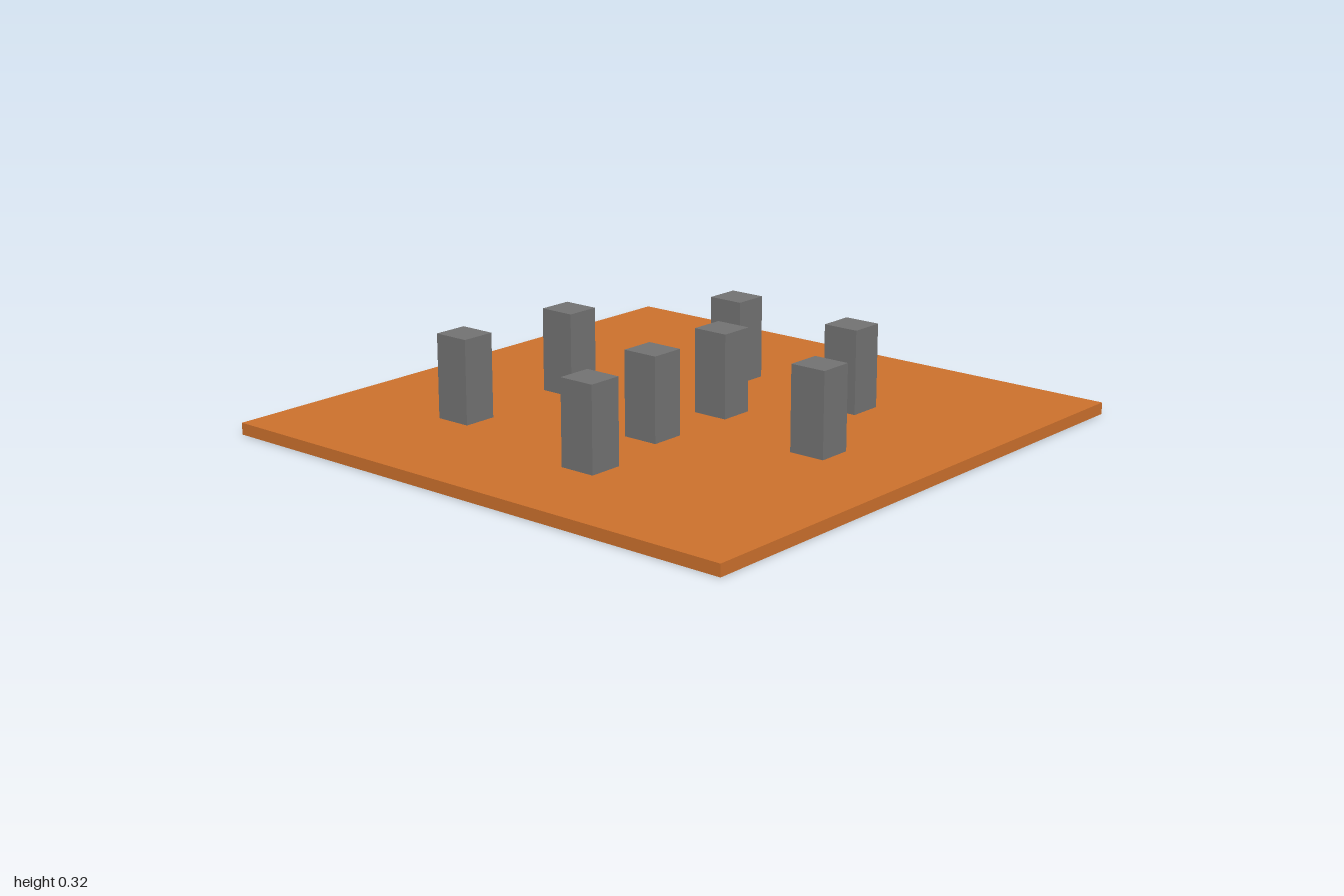
import * as THREE from 'three';

export function createModel() {
  const group = new THREE.Group();
  const orange = new THREE.MeshStandardMaterial({ name: 'orange', color: 0xcb702c });
  const grey = new THREE.MeshStandardMaterial({ name: 'grey', color: 0x727272 });

  // Thin square floor
  const baseHeight = 0.04;
  const base = new THREE.Mesh(new THREE.BoxGeometry(2, baseHeight, 2), orange);
  base.name = 'base';
  base.position.y = baseHeight / 2;
  group.add(base);

  // Scattered identical pillars, given as [x, z]
  const pillarHeight = 0.285;
  const pillarGeometry = new THREE.BoxGeometry(0.127, pillarHeight, 0.12);
  const spots = [
    [-0.123, -0.453], [0.395, -0.41], [0.103, -0.098], [-0.452, 0.034],
    [0.604, 0.039], [0.104, 0.248], [-0.487, 0.491], [0.165, 0.607],
  ];
  spots.forEach(([x, z], i) => {
    const pillar = new THREE.Mesh(pillarGeometry, grey);
    pillar.name = `pillar${i + 1}`;
    pillar.position.set(x, baseHeight + pillarHeight / 2, z);
    group.add(pillar);
  });

  return group;
}
